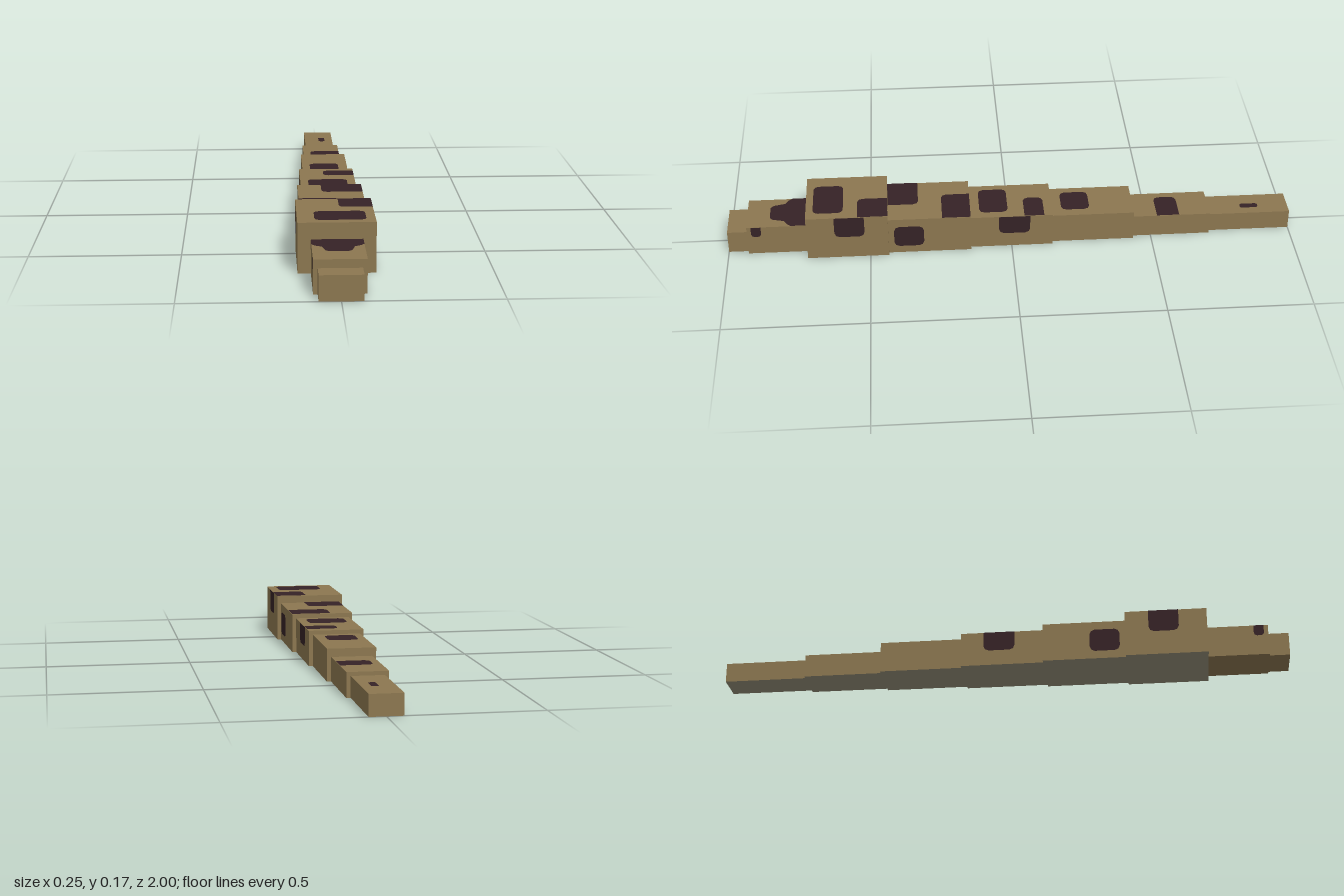
import * as THREE from 'three';

const hide = new THREE.MeshStandardMaterial({ color: 0x8c7750 });
hide.name = 'tan hide';
const spotMat = new THREE.MeshStandardMaterial({ color: 0x352226 });
spotMat.name = 'dark spots';
const bellyMat = new THREE.MeshStandardMaterial({ color: 0x948e78 });
bellyMat.name = 'grey belly';

// Parts from nose to tail: name, rear z, front z, half width, height
const PARTS = [
  ['snout', 0.93, 1.0, 0.069, 0.083],
  ['head', 0.72, 0.93, 0.083, 0.111],
  ['shoulders', 0.435, 0.72, 0.125, 0.167],
  ['midBody', 0.145, 0.435, 0.111, 0.14],
  ['hips', -0.145, 0.145, 0.097, 0.125],
  ['tailBase', -0.435, -0.145, 0.083, 0.111],
  ['tailMiddle', -0.71, -0.435, 0.069, 0.083],
  ['tailTip', -1.0, -0.71, 0.055, 0.07],
];

// Spots on the backs: x range, z range
const TOP_SPOTS = {
  shoulders: [[0.015, 0.125, 0.435, 0.54], [-0.07, 0.095, 0.59, 0.695]],
  midBody: [[-0.03, 0.111, 0.145, 0.245], [-0.111, 0.022, 0.327, 0.435]],
  hips: [[-0.012, 0.097, -0.115, -0.045], [-0.07, 0.068, 0.012, 0.112]],
  tailBase: [[-0.055, 0.05, -0.28, -0.18]],
  tailMiddle: [[-0.042, 0.069, -0.6, -0.52]],
  tailTip: [[0, 0.024, -0.892, -0.828]],
};

// Spots on the flanks: z range, y range
const SIDE_SPOTS = {
  head: [0.88, 0.915, 0.072, 0.111],
  shoulders: [0.517, 0.622, 0.087, 0.167],
  midBody: [0.31, 0.415, 0.028, 0.11],
  hips: [-0.065, 0.045, 0.055, 0.125],
};

// Rectangle whose corners are cut, except those on the border of the face
function spotOutline([u0, u1, v0, v1], [b0, b1, c0, c1]) {
  const cut = Math.min(0.018, (u1 - u0) * 0.3, (v1 - v0) * 0.3);
  const points = [];
  const corners = [[u0, v0, 1, 1], [u1, v0, -1, 1], [u1, v1, -1, -1], [u0, v1, 1, -1]];
  corners.forEach(([u, v, su, sv], i) => {
    const onBorder = [b0, b1].includes(u) || [c0, c1].includes(v);
    if (onBorder) { points.push([u, v]); return; }
    const pair = [[u, v + sv * cut], [u + su * cut * 0.3, v + sv * cut * 0.3], [u + su * cut, v]];
    points.push(...(i % 2 ? pair.reverse() : pair));
  });
  return points;
}

function flatGeometry(points) {
  return new THREE.ShapeGeometry(new THREE.Shape(points.map(([u, v]) => new THREE.Vector2(u, v))));
}

function addMesh(group, name, geometry, material, x, y, z) {
  const mesh = new THREE.Mesh(geometry, material);
  mesh.name = name;
  mesh.position.set(x, y, z);
  group.add(mesh);
}

export function createModel() {
  const model = new THREE.Group();
  model.name = 'spottedLizard';
  const lift = 0.0015;

  for (const [name, z0, z1, half, height] of PARTS) {
    const part = new THREE.Group();
    part.name = name;
    model.add(part);

    // Block, with a grey underside behind the head
    const under = name === 'snout' || name === 'head' ? hide : bellyMat;
    addMesh(part, name + 'Block', new THREE.BoxGeometry(half * 2, height, z1 - z0),
      [hide, hide, hide, under, hide, hide], 0, height / 2, (z0 + z1) / 2);

    // Back spots, drawn with v = -z and laid flat
    const tops = (TOP_SPOTS[name] || []).map((s) => spotOutline(s, [-half, half, z0, z1]));
    if (name === 'head') {
      // Crown patch narrowing towards the nose
      tops.push([[-0.083, 0.72], [0.083, 0.72], [0.083, 0.775], [0.07, 0.79], [0.052, 0.8],
        [0.042, 0.84], [0.03, 0.85], [-0.03, 0.85], [-0.042, 0.84], [-0.052, 0.8],
        [-0.07, 0.79], [-0.083, 0.775]]);
    }
    for (const outline of tops) {
      const geometry = flatGeometry(outline.map(([x, z]) => [x, -z])).rotateX(-Math.PI / 2);
      addMesh(part, 'backSpot', geometry, spotMat, 0, height + lift, 0);
    }

    // Flank spots on both sides
    if (SIDE_SPOTS[name]) {
      const outline = spotOutline(SIDE_SPOTS[name], [z0, z1, 0, height]);
      for (const side of [1, -1]) {
        const geometry = flatGeometry(outline.map(([z, y]) => [-side * z, y])).rotateY(side * Math.PI / 2);
        addMesh(part, side > 0 ? 'leftFlankSpot' : 'rightFlankSpot', geometry, spotMat,
          side * (half + lift), 0, 0);
      }
    }
  }
  return model;
}
